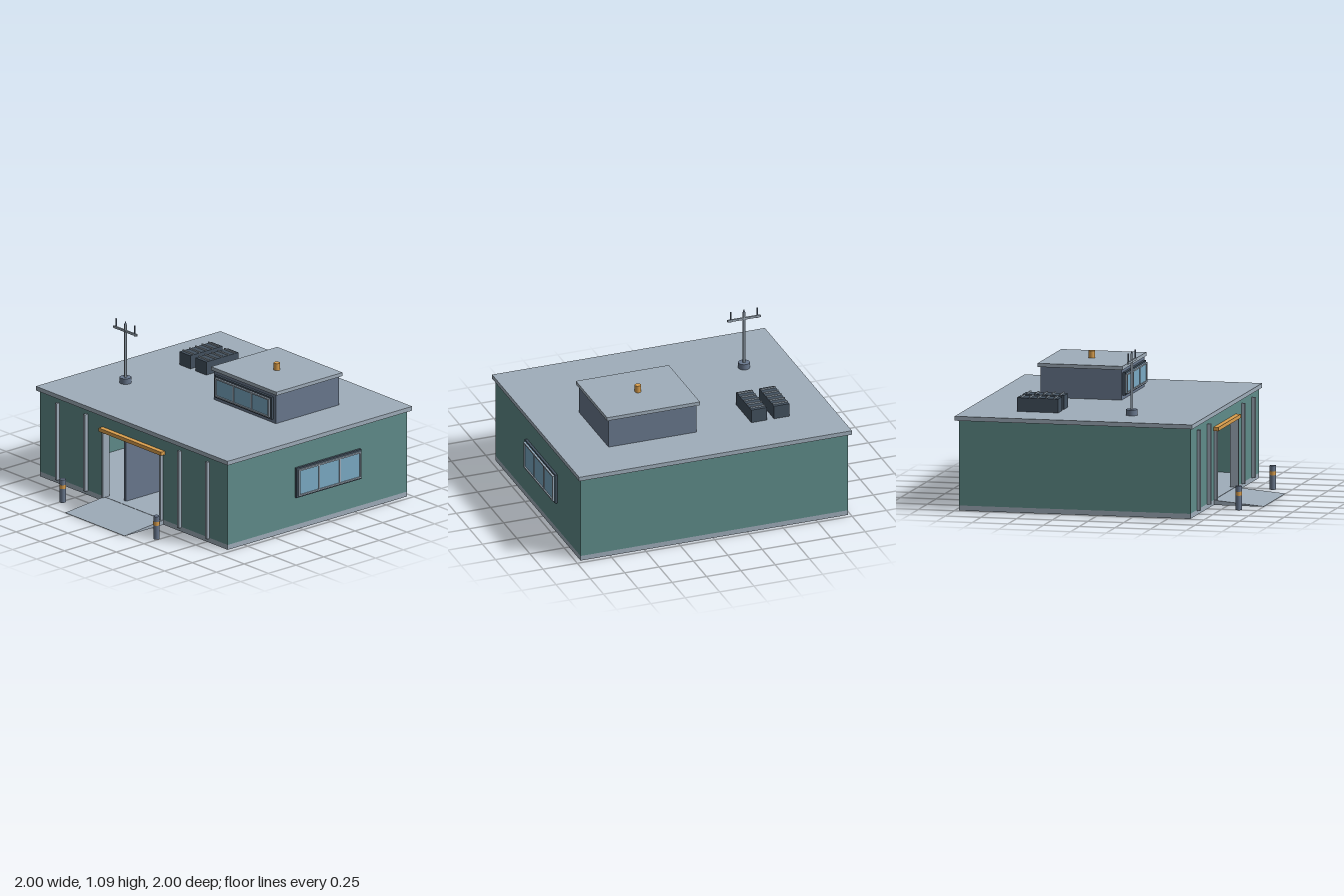
import * as THREE from 'three';

const mat = (color) => new THREE.MeshStandardMaterial({ color });
const TEAL = mat(0x5f8c8a), LIGHT = mat(0x9fadba), SLATE = mat(0x69788e);
const DARK = mat(0x43515f), ORANGE = mat(0xdca04e), GLASS = mat(0x7baac4);

// Box given by its limits on each axis
function box(parent, name, material, [x0, x1], [y0, y1], [z0, z1]) {
  const mesh = new THREE.Mesh(new THREE.BoxGeometry(x1 - x0, y1 - y0, z1 - z0), material);
  mesh.position.set((x0 + x1) / 2, (y0 + y1) / 2, (z0 + z1) / 2);
  mesh.name = name;
  parent.add(mesh);
  return mesh;
}

// Upright cylinder from y0 to y1
function post(parent, name, material, x, z, y0, y1, r, rTop = r) {
  const mesh = new THREE.Mesh(new THREE.CylinderGeometry(rTop, r, y1 - y0, 20), material);
  mesh.position.set(x, (y0 + y1) / 2, z);
  mesh.name = name;
  parent.add(mesh);
  return mesh;
}

function group(parent, name) {
  const g = new THREE.Group();
  g.name = name;
  parent.add(g);
  return g;
}

// Three-pane window facing +z, its back at z = 0
function addWindow(parent, name, w, h) {
  const g = group(parent, name);
  const a = w / 2, b = h / 2, t = 0.012;
  box(g, 'windowSurround', DARK, [-a, a], [-b, b], [0, 0.018]);
  const c = a - t, d = b - t;
  box(g, 'windowGlass', GLASS, [-c, c], [-d, d], [0.017, 0.023]);
  for (const s of [-1, 1]) {
    const y = s * (d - 0.005), x = s * (c - 0.005);
    box(g, 'frameRail', LIGHT, [-c, c], [y - 0.005, y + 0.005], [0.017, 0.032]);
    box(g, 'frameStile', LIGHT, [x - 0.005, x + 0.005], [-d, d], [0.017, 0.032]);
    const m = s * c / 3;
    box(g, 'mullion', LIGHT, [m - 0.005, m + 0.005], [-d, d], [0.017, 0.028]);
  }
  return g;
}

export function createModel() {
  const model = new THREE.Group();
  model.name = 'building';
  const X = [-0.98, 0.965], Z = [-0.97, 0.65], T = 0.03;

  // Floor slab and walls around a hollow room
  box(model, 'floorSlab', LIGHT, X, [0, 0.035], Z);
  const wallY = [0.035, 0.62];
  box(model, 'backWall', TEAL, X, wallY, [Z[0], Z[0] + T]);
  box(model, 'rightWall', TEAL, [X[0], X[0] + T], wallY, [Z[0] + T, Z[1] - T]);
  box(model, 'leftWall', TEAL, [X[1] - T, X[1]], wallY, [Z[0] + T, Z[1] - T]);

  // Front wall outlined around the open doorway
  const front = new THREE.Shape([
    [X[0], 0.035], [-0.31, 0.035], [-0.31, 0.52], [0.295, 0.52],
    [0.295, 0.035], [X[1], 0.035], [X[1], 0.62], [X[0], 0.62],
  ].map(([x, y]) => new THREE.Vector2(x, y)));
  const frontWall = new THREE.Mesh(
    new THREE.ExtrudeGeometry(front, { depth: T, bevelEnabled: false }), TEAL);
  frontWall.position.z = Z[1] - T;
  frontWall.name = 'frontWall';
  model.add(frontWall);

  box(model, 'partition', SLATE, [-0.167, -0.145], [0.035, 0.62], [-0.1, 0.6]);
  box(model, 'roof', LIGHT, [-1, 0.985], [0.62, 0.65], [-0.997, 0.668]);

  // Front ribs, door jambs and canopy
  for (const x of [-0.787, -0.493, 0.478, 0.768])
    box(model, 'wallRib', LIGHT, [x - 0.01, x + 0.01], [0.03, 0.585], [0.645, 0.674]);
  for (const x of [-0.307, 0.29])
    box(model, 'doorJamb', LIGHT, [x - 0.008, x + 0.008], [0.035, 0.515], [0.615, 0.674]);
  box(model, 'doorCanopy', ORANGE, [-0.33, 0.315], [0.51, 0.536], [0.645, 0.685]);

  // Wedge ramp: side profile drawn in (z, y), extruded across x
  const wedge = new THREE.Shape();
  wedge.moveTo(0.65, 0).lineTo(1, 0).lineTo(1, 0.002).lineTo(0.65, 0.033);
  const ramp = new THREE.Mesh(
    new THREE.ExtrudeGeometry(wedge, { depth: 0.615, bevelEnabled: false }), LIGHT);
  ramp.rotation.y = -Math.PI / 2;
  ramp.position.x = 0.3;
  ramp.name = 'entranceRamp';
  model.add(ramp);

  // Bollards
  for (const x of [-0.493, 0.478]) {
    const g = group(model, 'bollard');
    post(g, 'bollardPost', SLATE, x, 0.868, 0, 0.165, 0.0215);
    post(g, 'bollardBand', ORANGE, x, 0.868, 0.1, 0.127, 0.0225);
  }

  // Rooftop room
  const room = group(model, 'rooftopRoom');
  box(room, 'roomWalls', SLATE, [-0.005, 0.635], [0.65, 0.862], [-0.64, -0.072]);
  box(room, 'roomRoof', LIGHT, [-0.023, 0.653], [0.86, 0.885], [-0.658, -0.062]);
  post(room, 'ventCap', ORANGE, 0.315, -0.36, 0.885, 0.935, 0.022);

  // Windows
  addWindow(model, 'rooftopWindow', 0.585, 0.16).position.set(0.317, 0.757, -0.072);
  const side = addWindow(model, 'sideWindow', 0.585, 0.215);
  side.rotation.y = Math.PI / 2;
  side.position.set(0.967, 0.343, -0.246);

  // Louvred cooling units
  for (const x of [-0.625, -0.46]) {
    const g = group(model, 'coolingUnit');
    box(g, 'unitBody', DARK, [x - 0.056, x + 0.056], [0.65, 0.745], [-0.64, -0.35]);
    for (let i = 0; i < 5; i++) {
      const z = -0.61 + i * 0.058;
      box(g, 'unitSlat', LIGHT, [x - 0.054, x + 0.054], [0.74, 0.755], [z - 0.004, z + 0.004]);
    }
  }

  // Antenna mast
  const mast = group(model, 'antenna');
  const mx = -0.655, mz = 0.16;
  post(mast, 'mastBase', SLATE, mx, mz, 0.65, 0.69, 0.04);
  post(mast, 'mastPole', LIGHT, mx, mz, 0.69, 1.07, 0.009);
  post(mast, 'mastTip', SLATE, mx, mz, 1.07, 1.09, 0.009, 0.002);
  box(mast, 'crossbar', LIGHT, [mx - 0.12, mx + 0.12], [1.015, 1.03], [mz - 0.006, mz + 0.006]);
  for (const s of [-1, 1])
    post(mast, 'antennaProng', SLATE, mx + s * 0.097, mz, 1.012, 1.087, 0.005);

  return model;
}
